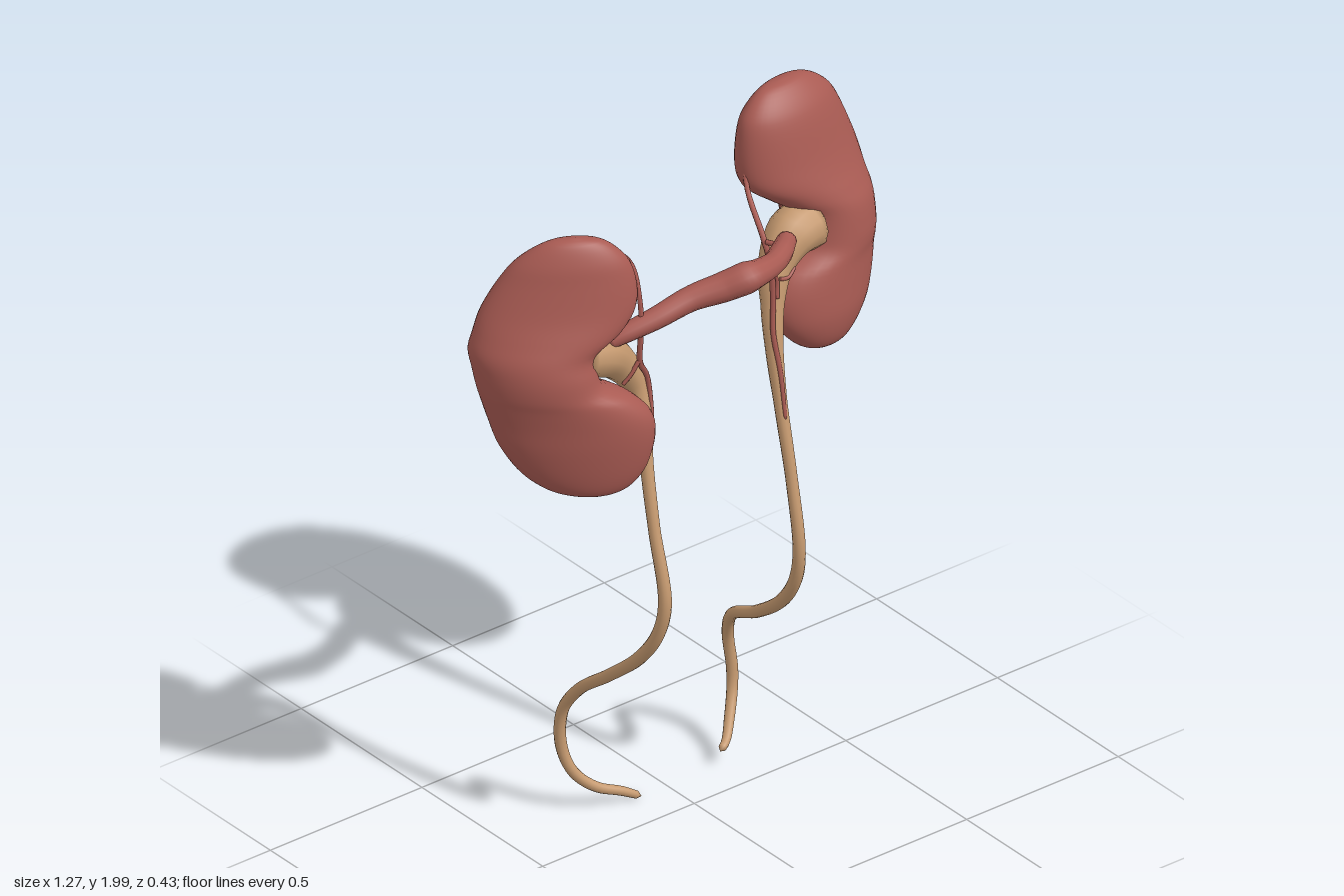
import * as THREE from 'three';
import { mergeVertices } from 'three/addons/utils/BufferGeometryUtils.js';

const red = new THREE.MeshStandardMaterial({ color: 0xa95b53 });
red.name = 'tissue red';
const tan = new THREE.MeshStandardMaterial({ color: 0xc69a70 });
tan.name = 'duct tan';

function smooth(geometry) {
  geometry.deleteAttribute('uv');
  geometry.deleteAttribute('normal');
  const merged = mergeVertices(geometry, 1e-5);
  merged.computeVertexNormals();
  return merged;
}

// Tube whose radius varies: points are [x, y, z, radius], both ends closed
function taperedTube(name, material, points, segments = 80, sides = 12) {
  const curve = new THREE.CatmullRomCurve3(points.map(p => new THREE.Vector3(p[0], p[1], p[2])));
  const geometry = new THREE.TubeGeometry(curve, segments, 1, sides);
  const pos = geometry.attributes.position;
  const v = new THREE.Vector3();
  for (let i = 0; i <= segments; i++) {
    const centre = curve.getPointAt(i / segments);
    const f = curve.getUtoTmapping(i / segments) * (points.length - 1);
    const k = Math.min(Math.floor(f), points.length - 2);
    const end = i === 0 || i === segments;
    const r = end ? 0 : THREE.MathUtils.lerp(points[k][3], points[k + 1][3], f - k);
    for (let j = 0; j <= sides; j++) {
      const n = i * (sides + 1) + j;
      v.fromBufferAttribute(pos, n).sub(centre).multiplyScalar(r).add(centre);
      pos.setXYZ(n, v.x, v.y, v.z);
    }
  }
  const mesh = new THREE.Mesh(smooth(geometry), material);
  mesh.name = name;
  return mesh;
}

// Bean body from level cross-sections, top to bottom: [y, xMin, xMax, zCentre, halfDepth];
// yaw slants each section in z about x = pivot
function kidney(name, rows, pivot, yaw) {
  const spans = new THREE.CatmullRomCurve3(
    rows.map(r => new THREE.Vector3(r[0], r[1], r[2])), false, 'catmullrom', 0.5);
  const depths = new THREE.CatmullRomCurve3(
    rows.map(r => new THREE.Vector3(r[3], r[4], 0)), false, 'catmullrom', 0.5);
  const rings = 64, sides = 40, positions = [], index = [];
  for (let i = 0; i <= rings; i++) {
    const s = spans.getPoint(i / rings), d = depths.getPoint(i / rings);
    const mid = (s.y + s.z) / 2, half = (s.z - s.y) / 2;
    for (let j = 0; j < sides; j++) {
      const a = (j / sides) * Math.PI * 2;
      const x = mid + half * Math.cos(a);
      positions.push(x, s.x, d.x + yaw * (x - pivot) + d.y * Math.sin(a));
      if (i < rings) {
        const p = i * sides + j, q = i * sides + (j + 1) % sides;
        index.push(p, q, p + sides, q, q + sides, p + sides);
      }
    }
  }
  const geometry = new THREE.BufferGeometry();
  geometry.setAttribute('position', new THREE.Float32BufferAttribute(positions, 3));
  geometry.setIndex(index);
  const mesh = new THREE.Mesh(smooth(geometry), red);
  mesh.name = name;
  return mesh;
}

export function createModel() {
  const model = new THREE.Group();
  model.name = 'kidneys';

  // Kidneys
  model.add(kidney('leftKidney', [
    [2.0, 0.39, 0.39, -0.125, 0],
    [1.99, 0.315, 0.465, -0.125, 0.03],
    [1.95, 0.26, 0.525, -0.12, 0.062],
    [1.9, 0.235, 0.56, -0.117, 0.083],
    [1.8, 0.224, 0.60, -0.11, 0.103],
    [1.74, 0.24, 0.615, -0.1, 0.113],
    [1.69, 0.30, 0.622, -0.09, 0.122],
    [1.64, 0.36, 0.63, -0.08, 0.128],
    [1.57, 0.37, 0.632, -0.07, 0.128],
    [1.53, 0.35, 0.63, -0.064, 0.125],
    [1.49, 0.285, 0.624, -0.057, 0.121],
    [1.43, 0.258, 0.61, -0.042, 0.112],
    [1.36, 0.27, 0.58, -0.022, 0.096],
    [1.3, 0.31, 0.535, -0.008, 0.072],
    [1.262, 0.36, 0.49, 0.003, 0.04],
    [1.25, 0.43, 0.43, 0.01, 0]
  ], 0.43, -0.08));
  model.add(kidney('rightKidney', [
    [1.865, -0.385, -0.385, -0.03, 0],
    [1.85, -0.45, -0.32, -0.035, 0.035],
    [1.8, -0.51, -0.268, -0.042, 0.07],
    [1.74, -0.55, -0.244, -0.046, 0.09],
    [1.66, -0.595, -0.246, -0.04, 0.105],
    [1.6, -0.62, -0.29, -0.025, 0.113],
    [1.55, -0.635, -0.36, -0.012, 0.118],
    [1.5, -0.632, -0.368, 0, 0.12],
    [1.45, -0.625, -0.35, 0.004, 0.12],
    [1.41, -0.617, -0.285, 0.005, 0.118],
    [1.35, -0.602, -0.236, 0.005, 0.114],
    [1.28, -0.582, -0.229, 0.008, 0.105],
    [1.2, -0.54, -0.25, 0.015, 0.085],
    [1.15, -0.49, -0.288, 0.025, 0.06],
    [1.128, -0.44, -0.33, 0.03, 0.035],
    [1.12, -0.385, -0.385, 0.035, 0]
  ], -0.43, 0.5));

  // Funnel-shaped pelvis running down into each ureter
  model.add(taperedTube('leftUreter', tan, [
    [0.41, 1.61, -0.03, 0.075], [0.33, 1.60, -0.015, 0.068], [0.265, 1.54, 0.005, 0.047],
    [0.23, 1.45, 0.035, 0.031], [0.212, 1.34, 0.065, 0.024], [0.204, 1.2, 0.1, 0.018],
    [0.2, 1, 0.15, 0.016], [0.196, 0.8, 0.188, 0.017], [0.2, 0.7, 0.17, 0.018],
    [0.207, 0.6, 0.105, 0.018], [0.222, 0.5, -0.02, 0.017], [0.237, 0.43, -0.14, 0.016],
    [0.262, 0.34, -0.19, 0.016], [0.276, 0.23, -0.19, 0.016], [0.268, 0.17, -0.18, 0.015],
    [0.235, 0.11, -0.15, 0.014], [0.2, 0.07, -0.12, 0.012], [0.165, 0.06, -0.1, 0.01]
  ], 120));
  model.add(taperedTube('rightUreter', tan, [
    [-0.41, 1.535, 0.02, 0.07], [-0.335, 1.515, 0.025, 0.066], [-0.265, 1.455, 0.018, 0.05],
    [-0.217, 1.375, 0.03, 0.033], [-0.213, 1.29, 0.06, 0.023], [-0.226, 1.18, 0.085, 0.018],
    [-0.24, 1, 0.135, 0.016], [-0.244, 0.8, 0.185, 0.018], [-0.25, 0.7, 0.165, 0.018],
    [-0.26, 0.6, 0.1, 0.018], [-0.272, 0.5, -0.01, 0.017], [-0.283, 0.41, -0.12, 0.016],
    [-0.291, 0.32, -0.18, 0.016], [-0.288, 0.21, -0.19, 0.016], [-0.265, 0.13, -0.17, 0.015],
    [-0.21, 0.075, -0.145, 0.014], [-0.14, 0.045, -0.125, 0.013], [-0.085, 0.015, -0.112, 0.01]
  ], 120));

  // Large vessel bridging the two sides
  model.add(taperedTube('renalVessel', red, [
    [-0.33, 1.555, 0.05, 0.022], [-0.28, 1.575, 0.07, 0.026], [-0.2, 1.6, 0.093, 0.03],
    [-0.1, 1.63, 0.112, 0.034], [-0.02, 1.65, 0.145, 0.04], [0.035, 1.67, 0.172, 0.043],
    [0.07, 1.67, 0.172, 0.037], [0.14, 1.66, 0.148, 0.031], [0.2, 1.655, 0.11, 0.031],
    [0.235, 1.65, 0.08, 0.028], [0.262, 1.648, 0.058, 0.026]
  ]));

  // Fine vessels: from the upper pole down along each ureter, with short side branches
  const fine = [
    [[0.24, 1.84, -0.1, 0.006], [0.224, 1.75, -0.06, 0.007], [0.195, 1.67, 0.04, 0.008],
      [0.202, 1.6, 0.06, 0.008], [0.208, 1.5, 0.065, 0.008], [0.2, 1.4, 0.075, 0.007],
      [0.205, 1.28, 0.1, 0.007], [0.2, 1.15, 0.128, 0.005]],
    [[0.204, 1.58, 0.063, 0.006], [0.228, 1.53, 0.055, 0.007], [0.225, 1.48, 0.06, 0.006]],
    [[0.195, 1.66, 0.05, 0.007], [0.215, 1.66, 0.09, 0.009], [0.24, 1.65, 0.08, 0.008]],
    [[0.24, 1.53, 0.05, 0.006], [0.27, 1.525, 0.05, 0.006], [0.3, 1.54, 0.04, 0.005]],
    [[-0.3, 1.82, 0.01, 0.006], [-0.246, 1.76, 0.045, 0.007], [-0.238, 1.65, 0.075, 0.007],
      [-0.24, 1.56, 0.08, 0.008], [-0.235, 1.47, 0.07, 0.008], [-0.203, 1.41, 0.06, 0.007],
      [-0.198, 1.32, 0.07, 0.007], [-0.215, 1.22, 0.097, 0.005]],
    [[-0.237, 1.48, 0.072, 0.006], [-0.26, 1.44, 0.065, 0.006], [-0.28, 1.41, 0.055, 0.005]]
  ];
  fine.forEach((points, i) => model.add(taperedTube('fineVessel' + (i + 1), red, points, 40, 8)));

  return model;
}
